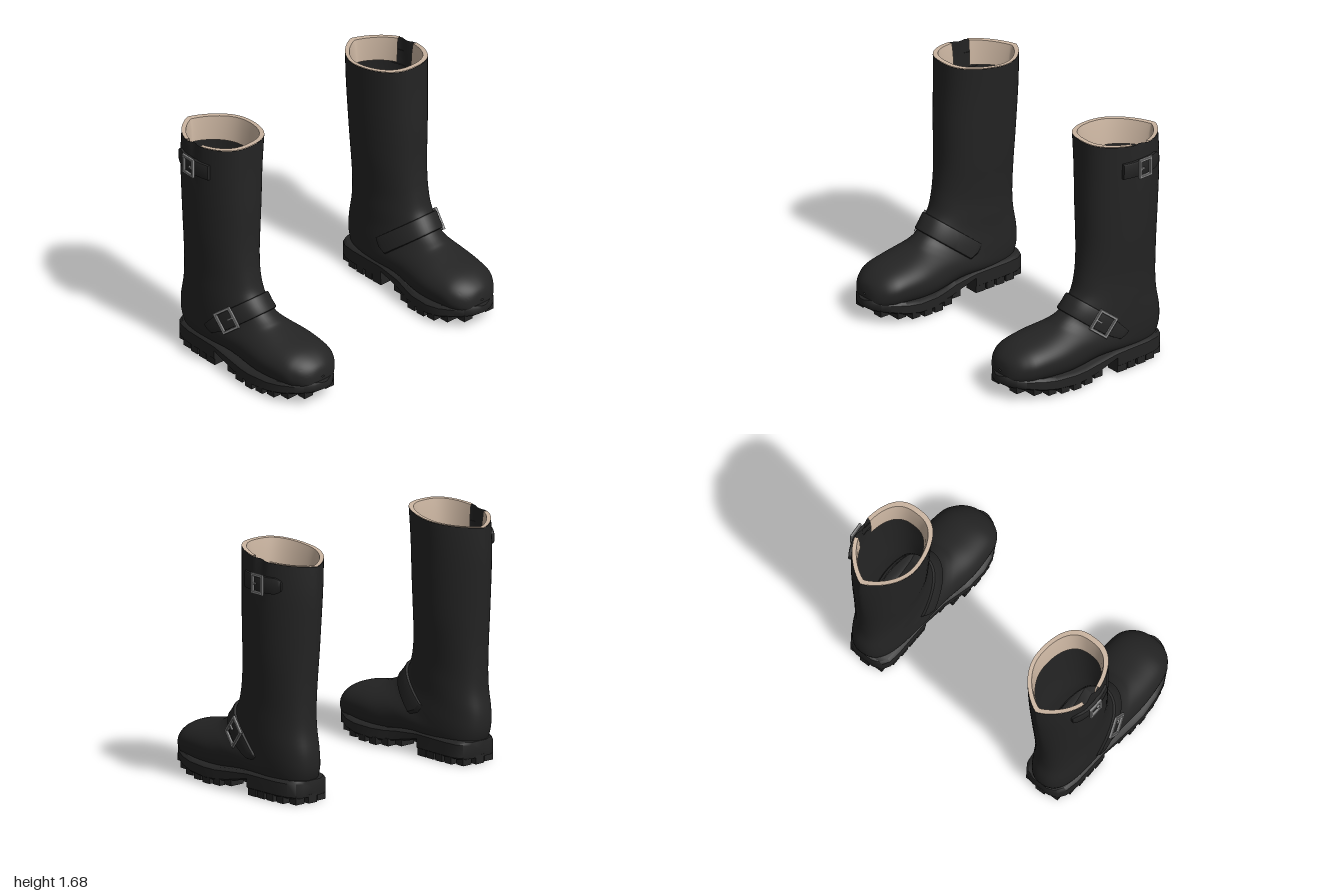
import * as THREE from 'three';
import { toCreasedNormals } from 'three/addons/utils/BufferGeometryUtils.js';

const leather = new THREE.MeshStandardMaterial({ color: 0x242424, side: THREE.DoubleSide });
leather.name = 'black leather';
const lining = new THREE.MeshStandardMaterial({ color: 0xcbb5a1, side: THREE.DoubleSide });
lining.name = 'tan lining';
const metal = new THREE.MeshStandardMaterial({ color: 0x8a8a8a });
metal.name = 'buckle metal';

const V = (x, y, z) => new THREE.Vector3(x, y, z);
const rad = THREE.MathUtils.degToRad;

// Boot rings from rim to toe: front z, y, back z, y, half width, centre x
const RINGS = [
  [-.025, 1.68, -.655, 1.615, .24, .73],
  [-.025, 1.45, -.655, 1.42, .232, .738],
  [-.02, 1.2, -.64, 1.2, .222, .742],
  [-.02, .95, -.62, .97, .21, .745],
  [-.01, .8, -.605, .78, .195, .748],
  [.005, .7, -.6, .6, .185, .75],
  [.03, .6, -.605, .47, .185, .75],
  [.075, .53, -.63, .32, .185, .75],
  [.12, .48, -.62, .19, .188, .745],
  [.16, .45, -.55, .1, .19, .74],
  [.2, .425, -.35, .1, .2, .735],
  [.24, .405, -.1, .12, .21, .73],
  [.34, .38, .2, .09, .23, .72],
  [.46, .355, .48, .1, .213, .715],
  [.53, .33, .57, .11, .178, .71],
  [.585, .295, .615, .12, .13, .71],
  [.62, .255, .635, .14, .075, .71],
  [.636, .2, .636, .19, .01, .71],
];

// Smooth ring parameters at fractional index u
function ringAt(u) {
  const i = Math.min(Math.floor(u), RINGS.length - 2), f = u - i;
  const r = k => RINGS[THREE.MathUtils.clamp(k, 0, RINGS.length - 1)];
  return RINGS[0].map((_, k) => {
    const a = r(i - 1)[k], b = r(i)[k], c = r(i + 1)[k], d = r(i + 2)[k];
    return b + .5 * f * (c - a + f * (2 * a - 5 * b + 4 * c - d + f * (3 * (b - c) + d - a)));
  });
}

// Point on the boot surface; t = 0 is front or top, t = 90 degrees the outer side.
// The shaft narrows towards its back; the foot has a domed top and a squarer underside.
function surface(u, t, inset = 0) {
  const [az, ay, bz, by, w, cx] = ringAt(u);
  const c = Math.cos(t), s = Math.sin(t), k = 1 - inset / .25;
  const front = Math.min(.9, .75 + .04 * u);
  const back = u < 4 ? 1.6 - .15 * u : Math.max(.5, 1 - .06 * (u - 4));
  const x = Math.sign(s) * Math.abs(s) ** (c > 0 ? front : back) * w;
  return V(cx + x * k, (ay + by) / 2 + c * (ay - by) / 2, (az + bz) / 2 + c * k * (az - bz) / 2);
}

// Skin rows of points into a surface
function loft(rows, closed) {
  const n = rows[0].length, index = [];
  for (let i = 0; i < rows.length - 1; i++)
    for (let j = 0; j < (closed ? n : n - 1); j++) {
      const a = i * n + j, b = i * n + (j + 1) % n;
      index.push(a, a + n, b, b, a + n, b + n);
    }
  const g = new THREE.BufferGeometry().setFromPoints(rows.flat());
  g.setIndex(index);
  return toCreasedNormals(g, .75);
}

// Point on the surface at distance s from a slanted plane, found by bisection
function onPlane(p, t, s) {
  let [lo, hi] = p.range;
  for (let k = 0; k < 30; k++) {
    const m = (lo + hi) / 2, q = surface(m, t);
    if ((q.z - p.z) * p.nz + (q.y - p.y) * p.ny < s) lo = m; else hi = m;
  }
  return surface(lo, t);
}

// Tangent frame along a strap
function frameAt(p, t, s = 0) {
  const pos = onPlane(p, t, s);
  const x = onPlane(p, t + .02, s).sub(onPlane(p, t - .02, s)).normalize();
  const n = onPlane(p, t, s + .01).sub(onPlane(p, t, s - .01)).cross(x).normalize();
  return { pos, x, n, y: n.clone().cross(x) };
}

// Raised band with a rounded tip
function strap(p) {
  const rows = [], N = 40;
  for (let i = 0; i <= N; i++) {
    const t = rad(p.from + (p.to - p.from) * i / N);
    const end = Math.min(1, (N - i) / 6);
    const h = p.half * (.35 + .65 * Math.sqrt(end));
    const th = i === 0 || i === N ? -.006 : p.thick;
    const across = [[-1, -.006], [-.97, th * .8], [-.8, th], [0, th], [.8, th], [.97, th * .8], [1, -.006]];
    rows.push(across.map(([k, lift]) => {
      const f = frameAt(p, t, k * h);
      return f.pos.addScaledVector(f.n, lift);
    }).reverse());
  }
  return loft(rows.reverse(), false);
}

// Square frame and prong lying on a strap
function buckle(p) {
  const f = frameAt(p, rad(p.buckleAt));
  const m = new THREE.Matrix4().makeBasis(f.x, f.y, f.n).setPosition(f.pos.addScaledVector(f.n, p.thick));
  const box = (path, w, h) => {
    path.moveTo(-w, -h); path.lineTo(w, -h); path.lineTo(w, h); path.lineTo(-w, h); path.closePath();
    return path;
  };
  const shape = box(new THREE.Shape(), p.bw, p.bh);
  shape.holes.push(box(new THREE.Path(), p.bw - .013, p.bh - .013));
  const frame = new THREE.ExtrudeGeometry(shape, { depth: .014, bevelEnabled: true, bevelSize: .003, bevelThickness: .003, bevelSegments: 1 });
  const prong = new THREE.BoxGeometry(p.bw * .75, .011, .012).translate(-p.bw * .6, 0, .01);
  return [frame.applyMatrix4(m), prong.applyMatrix4(m)];
}

// Sole slices from toe to heel: z, inner x, outer x, bottom, top
const SOLE = [
  [.66, .675, .745, .115, .165], [.64, .63, .79, .105, .17], [.6, .58, .845, .095, .165],
  [.55, .54, .885, .085, .16], [.45, .49, .935, .065, .15], [.35, .475, .958, .05, .14],
  [.2, .487, .968, .04, .135], [.1, .515, .96, .045, .135], [0, .54, .95, .06, .145],
  [-.179, .555, .93, .1, .16], [-.181, .555, .93, .04, .16], [-.45, .56, .915, .04, .16],
  [-.54, .57, .895, .04, .16], [-.59, .6, .86, .04, .16], [-.61, .65, .81, .045, .155],
];
function soleAt(z) {
  let i = 0;
  while (i < SOLE.length - 2 && SOLE[i + 1][0] > z) i++;
  const a = SOLE[i], b = SOLE[i + 1], f = (a[0] - z) / (a[0] - b[0]);
  return a.map((v, k) => v + (b[k] - v) * f);
}
function sole() {
  const rows = SOLE.map(([z, l, r, b, t]) => [
    [l + .02, t], [l, t - .018], [l, b + .012], [l + .015, b],
    [r - .015, b], [r, b + .012], [r, t - .018], [r - .02, t]].map(([x, y]) => V(x, y, z)));
  const cap = ([z, l, r, b, t]) => Array.from({ length: 8 }, () => V((l + r) / 2, (b + t) / 2, z));
  return loft([cap(SOLE[0]), ...rows, cap(SOLE[SOLE.length - 1])], true);
}

export function createModel() {
  const model = new THREE.Group();
  const boots = [1, -1].map(side => {
    const g = new THREE.Group();
    g.name = side > 0 ? 'leftBoot' : 'rightBoot';
    model.add(g);
    return g;
  });
  // Adds a part to the left boot and its mirror image to the right one
  const add = (name, geo, mat) => boots.forEach((boot, i) => {
    const g = geo.clone();
    if (i === 1) {
      g.scale(-1, 1, 1);
      const idx = g.index ? Array.from(g.index.array) : Array.from({ length: g.attributes.position.count }, (_, k) => k);
      for (let k = 0; k < idx.length; k += 3) [idx[k], idx[k + 1]] = [idx[k + 1], idx[k]];
      g.setIndex(idx);
    }
    const mesh = new THREE.Mesh(g, mat);
    mesh.name = name;
    boot.add(mesh);
  });

  // Shaft and foot, with a creased gusset at the outer rim
  const rows = [];
  for (let u = 0; u <= RINGS.length - 1; u += .25)
    rows.push(Array.from({ length: 64 }, (_, j) => {
      const t = j / 64 * Math.PI * 2, p = surface(u, t);
      p.x -= .025 * Math.exp(-(((t - 1.6) / .12) ** 2)) * Math.max(0, 1 - u / 1.6);
      return p;
    }));
  add('upper', loft(rows, true), leather);

  // Rim and lining, open at the gusset
  const ring = (u, inset, lift) => Array.from({ length: 61 }, (_, j) => {
    const p = surface(u, rad(106 + 332 * j / 60), inset);
    p.y += lift;
    return p;
  });
  add('lining', loft([ring(.85, .045, 0), ring(.4, .038, 0), ring(0, .028, .002), ring(0, 0, .003)], false), lining);

  // Sole, heel and tread lugs
  add('sole', sole(), leather);
  const lugRow = (z, depth, drop) => {
    const [, l, r] = soleAt(z + Math.sign(z) * depth * .4), b = soleAt(z)[3], w = (r - l) * .27;
    [[l + w / 2 + .004, 0], [(l + r) / 2, -.02], [r - w / 2 - .004, 0]].forEach(([x, dz]) =>
      add('lug', new THREE.BoxGeometry(w, drop + .02, depth).translate(x, b + .01 - drop / 2, z + dz), leather));
  };
  for (let i = 0; i < 7; i++) lugRow(.57 - i * .096, .066, .03);
  for (let i = 0; i < 5; i++) lugRow(-.222 - i * .084, i ? .066 : .08, .04);

  // Straps with buckles
  const ankle = { z: .1, y: .53, nz: .62, ny: -.78, range: [3, 12], from: -88, to: 98, half: .062, thick: .02, buckleAt: 60, bw: .072, bh: .075 };
  const top = { z: 0, y: 1.485, nz: 0, ny: -1, range: [.1, 3], from: 63, to: 124, half: .056, thick: .02, buckleAt: 93, bw: .052, bh: .066 };
  for (const [name, p] of [['ankle', ankle], ['top', top]]) {
    add(name + 'Strap', strap(p), leather);
    const [frame, prong] = buckle(p);
    add(name + 'Buckle', frame, metal);
    add(name + 'Prong', prong, metal);
  }
  return model;
}
